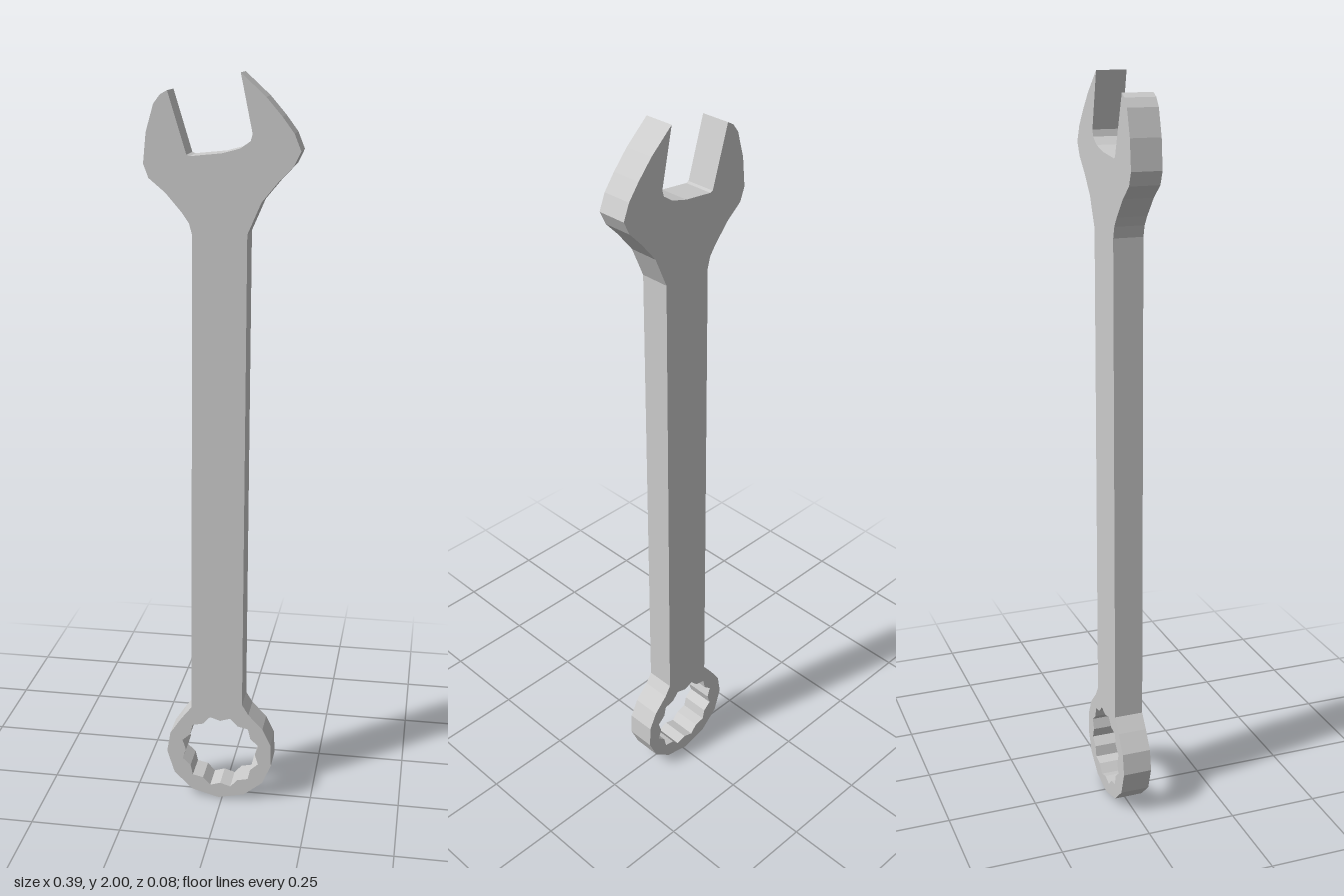
import * as THREE from 'three';

const THICKNESS = 0.08;

// Silhouette, counter-clockwise from the long jaw tip
const longJaw = [[0.047, 2], [-0.135, 1.957]];
const shortJaw = [
  [-0.135, 1.957], [-0.153, 1.947], [-0.17, 1.925], [-0.19, 1.857], [-0.198, 1.78],
  [-0.185, 1.745], [-0.143, 1.71], [-0.1, 1.66], [-0.083, 1.635], [-0.075, 1.605],
];
const ringEnd = [
  [-0.087, 0.28], [-0.116, 0.243], [-0.148, 0.195], [-0.158, 0.137], [-0.137, 0.07],
  [-0.085, 0.02], [-0.01, 0], [0.063, 0.016], [0.115, 0.058], [0.14, 0.115],
  [0.138, 0.18], [0.115, 0.228], [0.075, 0.27], [0.057, 0.3],
];
const longJawOuter = [
  [0.065, 1.61], [0.1, 1.69], [0.143, 1.742], [0.18, 1.78], [0.197, 1.815],
  [0.18, 1.857], [0.15, 1.897], [0.11, 1.943], longJaw[0],
];
const jawMouth = [
  [0.077, 1.855], [0.072, 1.838], [0.046, 1.82], [0, 1.808], [-0.08, 1.8], [-0.088, 1.803],
];

const toPoints = (list) => list.map(([x, y]) => new THREE.Vector2(x, y));

// Twelve-point socket opening
function socketHole(cx, cy, outer, inner) {
  const points = [];
  for (let i = 0; i < 24; i++) {
    const a = (i * Math.PI) / 12;
    const r = i % 2 ? outer : inner;
    points.push(new THREE.Vector2(cx + r * Math.cos(a), cy + r * Math.sin(a)));
  }
  return new THREE.Path(points);
}

export function createModel() {
  const group = new THREE.Group();
  group.name = 'combinationWrench';

  const outline = new THREE.Shape(
    toPoints([...shortJaw, ...ringEnd, ...longJawOuter, ...jawMouth])
  );
  outline.holes.push(socketHole(-0.005, 0.146, 0.112, 0.099));

  // Flat one-piece body: open jaw, shaft and ring
  const geometry = new THREE.ExtrudeGeometry(outline, { depth: THICKNESS, bevelEnabled: false });
  geometry.translate(0, 0, -THICKNESS / 2);
  const body = new THREE.Mesh(
    geometry,
    new THREE.MeshStandardMaterial({ color: 0xcccccc, flatShading: true })
  );
  body.name = 'wrenchBody';
  group.add(body);
  return group;
}
